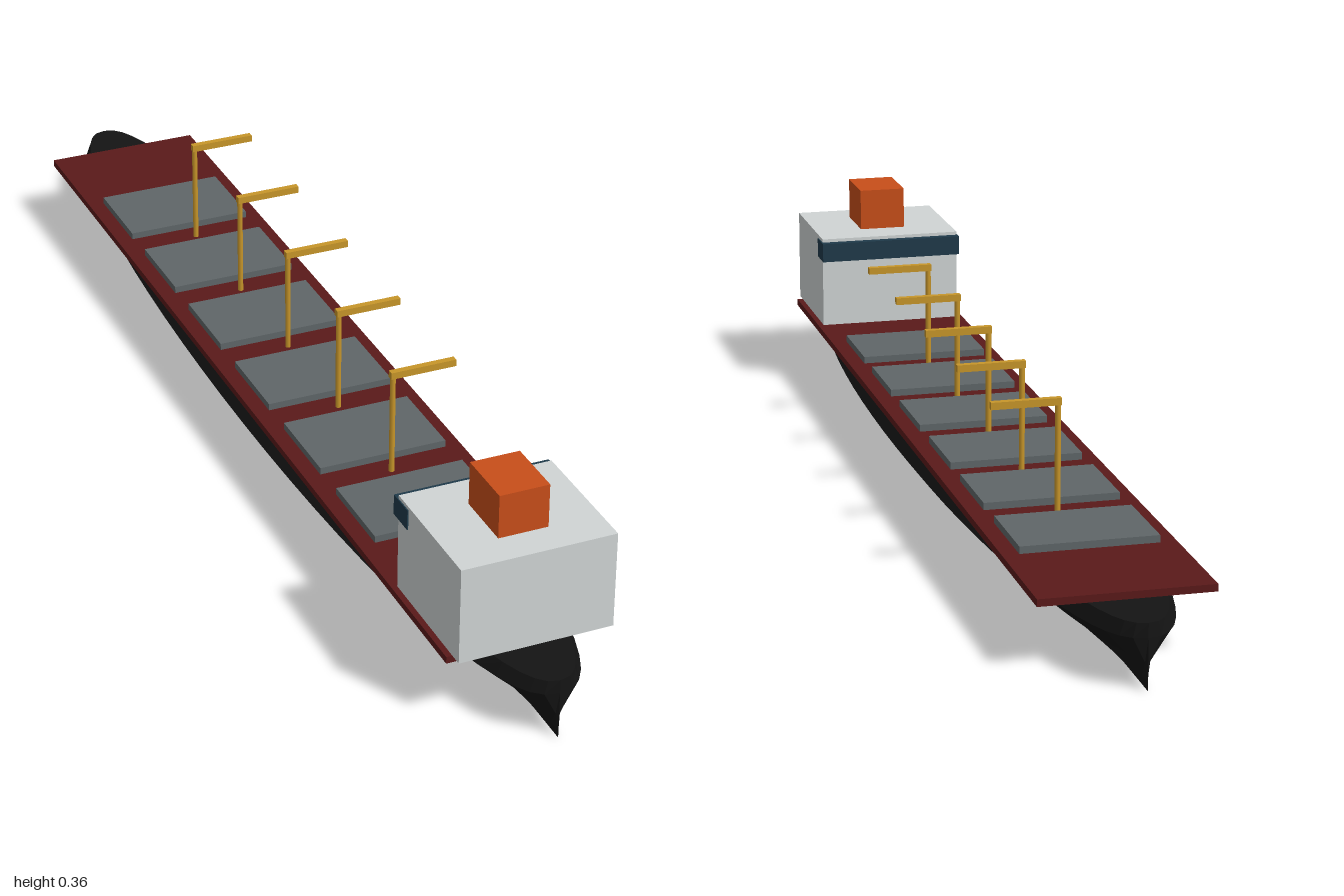
import * as THREE from 'three';

const paint = (color, extra = {}) => new THREE.MeshStandardMaterial({ color, ...extra });

// Hull lofted from chined cross-sections that taper to a sharp stem at both ends
function hullGeometry() {
  // [half width, height, taper power], keel to deck edge
  const chines = [[0, 0, 1], [0.055, 0.017, 0.85], [0.116, 0.043, 0.75], [0.147, 0.083, 0.4], [0.131, 0.106, 0.43]];
  const ring = [...chines, ...chines.slice(1).reverse().map(([w, y, p]) => [-w, y, p])];
  const n = ring.length, stations = 32;
  const pos = [], index = [];
  for (let i = 0; i <= stations; i++) {
    const z = -Math.cos(Math.PI * i / stations);
    const fullness = Math.max(0, 1 - z * z);
    for (const [w, y, p] of ring) pos.push(w * Math.pow(fullness, p) * (1 + 0.04 * z), y, z);
  }
  for (let i = 0; i < stations; i++) {
    for (let j = 0; j < n; j++) {
      const a = i * n + j, b = i * n + (j + 1) % n;
      index.push(a, b, a + n, b, b + n, a + n);
    }
  }
  const geo = new THREE.BufferGeometry();
  geo.setAttribute('position', new THREE.Float32BufferAttribute(pos, 3));
  geo.setIndex(index);
  geo.computeVertexNormals();
  return geo;
}

export function createModel() {
  const ship = new THREE.Group();
  ship.name = 'cargoShip';

  const red = paint(0x5a1a1a), white = paint(0xd0d5d5), orange = paint(0xc84e1a);
  const hatchGrey = paint(0x5f6668), yellow = paint(0xc8962a), glass = paint(0x1f3a4a);

  const add = (name, geo, mat, x, y, z, parent = ship) => {
    const mesh = new THREE.Mesh(geo, mat);
    mesh.name = name;
    mesh.position.set(x, y, z);
    parent.add(mesh);
    return mesh;
  };
  // Box given by its size, standing on height y
  const box = (name, mat, w, h, d, x, y, z, parent) =>
    add(name, new THREE.BoxGeometry(w, h, d), mat, x, y + h / 2, z, parent);

  add('hull', hullGeometry(), paint(0x141414, { flatShading: true, side: THREE.DoubleSide }), 0, 0, 0);
  box('deck', red, 0.28, 0.012, 1.79, 0, 0.106, 0);

  // Bridge house with window band and funnel
  box('bridgeHouse', white, 0.26, 0.167, 0.225, 0, 0.118, 0.805);
  box('bridgeWindows', glass, 0.264, 0.035, 0.05, 0, 0.244, 0.704);
  box('funnel', orange, 0.084, 0.075, 0.104, 0, 0.285, 0.808);

  // Cargo hatches
  for (let i = 0; i < 6; i++) {
    box('hatch' + (i + 1), hatchGrey, 0.225, 0.012, 0.155, 0, 0.118, -0.613 + i * 0.2205);
  }

  // Cranes between the hatches
  for (let i = 0; i < 5; i++) {
    const crane = new THREE.Group();
    crane.name = 'crane' + (i + 1);
    crane.position.z = -0.502 + i * 0.2205;
    add('cranePost', new THREE.CylinderGeometry(0.005, 0.005, 0.182, 8), yellow, 0, 0.209, 0, crane);
    box('craneJib', yellow, 0.115, 0.012, 0.011, 0.0525, 0.294, 0, crane);
    ship.add(crane);
  }
  return ship;
}
